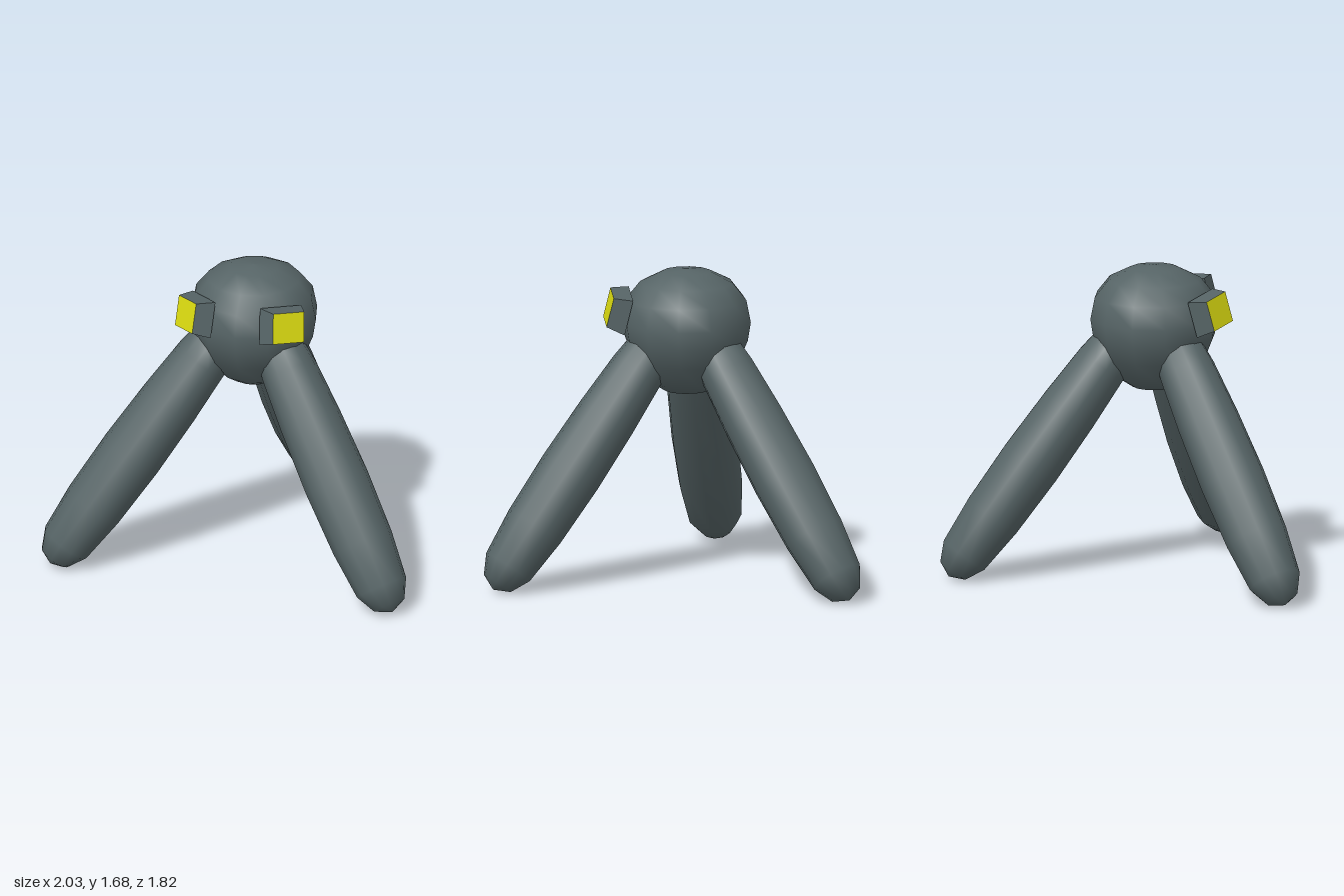
import * as THREE from 'three';

const slate = new THREE.MeshStandardMaterial({ color: 0x566466 });
const yellow = new THREE.MeshStandardMaterial({ color: 0xdddd11 });
const HUB_Z = 0.24;

// Smooth turned solid from [radius, height] pairs, bottom to top
function turned(name, profile, sides) {
  const points = profile.map(([r, y]) => new THREE.Vector2(r, y));
  const mesh = new THREE.Mesh(new THREE.LatheGeometry(points, sides), slate);
  mesh.name = name;
  return mesh;
}

// Block that flares towards its back, with a yellow front face
function makeEye(name, side) {
  const geometry = new THREE.BoxGeometry(0.185, 0.165, 0.1);
  const p = geometry.attributes.position;
  for (let i = 0; i < p.count; i++) {
    if (p.getZ(i) < 0) p.setXY(i, p.getX(i) * 1.33, p.getY(i) * 1.2);
  }
  geometry.translate(0, 0, -0.05);
  geometry.computeVertexNormals();
  const eye = new THREE.Mesh(geometry, [slate, slate, slate, slate, yellow, slate]);
  eye.name = name;
  eye.position.set(side * 0.288, 1.482, 0.545);
  eye.lookAt(side * (0.288 + 0.685), 1.482 + 0.22, 0.545 + 0.695);
  eye.rotateZ(-side * 0.13);
  return eye;
}

export function createModel() {
  const model = new THREE.Group();
  model.name = 'threeLeggedRobot';

  // Rounded body, a little narrower below
  const body = turned('body', [
    [0, 1.012], [0.12, 1.025], [0.19, 1.07], [0.285, 1.19], [0.33, 1.3],
    [0.346, 1.4], [0.322, 1.52], [0.25, 1.61], [0.13, 1.67], [0, 1.683],
  ], 12);
  body.position.z = HUB_Z;
  model.add(body);

  // Three splayed legs, evenly spaced around the body
  const legProfile = [
    [0, -0.755], [0.085, -0.715], [0.138, -0.61], [0.163, -0.35], [0.171, 0],
    [0.163, 0.35], [0.147, 0.65], [0.133, 0.76], [0.08, 0.88], [0, 0.91],
  ];
  ['backLeg', 'rightLeg', 'leftLeg'].forEach((name, i) => {
    const pivot = new THREE.Group();
    pivot.name = name;
    pivot.position.z = HUB_Z;
    pivot.rotation.y = -0.02 + i * Math.PI * 2 / 3;
    const limb = turned(name + 'Limb', legProfile, 12);
    limb.scale.x = 1.05;
    limb.position.set(0, 0.627, -0.666);
    limb.rotation.x = 0.631;
    pivot.add(limb);
    model.add(pivot);
  });

  // Mirrored pair of eyes
  model.add(makeEye('leftEye', 1), makeEye('rightEye', -1));
  return model;
}
